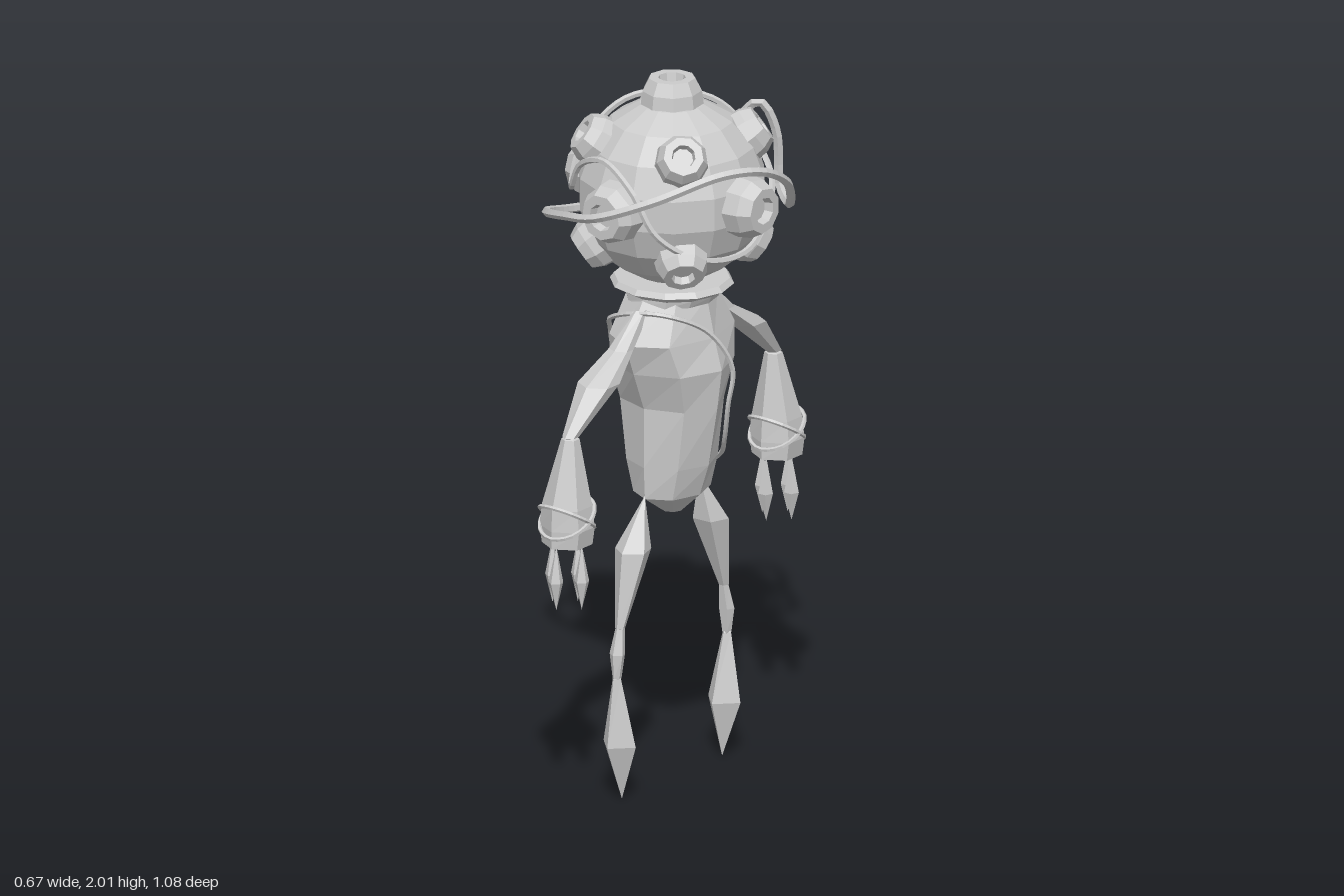
import * as THREE from 'three';

const V = (x, y, z) => new THREE.Vector3(x, y, z);
const CX = 0.01; // body axis
const HEAD = V(CX, 1.69, 0);
const mat = new THREE.MeshStandardMaterial({ color: 0xcccccc, flatShading: true });

function add(parent, name, geo) {
  const flat = geo.index ? geo.toNonIndexed() : geo;
  flat.computeVertexNormals();
  const mesh = new THREE.Mesh(flat, mat);
  mesh.name = name;
  parent.add(mesh);
  return mesh;
}

// Skin over horizontal rings listed from top to bottom: [y, z, rx, rz]
function loft(rings, sides, x = CX) {
  const pos = [], idx = [];
  for (const [y, z, rx, rz] of rings)
    for (let i = 0; i < sides; i++) {
      const a = (i / sides) * Math.PI * 2;
      pos.push(x + Math.sin(a) * rx, y, z + Math.cos(a) * rz);
    }
  for (let r = 0; r < rings.length - 1; r++)
    for (let i = 0; i < sides; i++) {
      const j = (i + 1) % sides;
      const a = r * sides + i, b = r * sides + j, c = a + sides, d = b + sides;
      idx.push(a, c, b, b, c, d);
    }
  const g = new THREE.BufferGeometry();
  g.setAttribute('position', new THREE.Float32BufferAttribute(pos, 3));
  g.setIndex(idx);
  return g;
}

// Closed hose or cord through a few points
function hose(points, radius, segments) {
  return new THREE.TubeGeometry(new THREE.CatmullRomCurve3(points, true), segments, radius, 5, true);
}

function makeHead() {
  const head = new THREE.Group();
  head.name = 'helmet';
  add(head, 'helmetShell', new THREE.SphereGeometry(0.26, 14, 9)).position.copy(HEAD);

  // Recessed ports: five on the axes, eight on the diagonals
  const profile = [[0.088, 0], [0.082, 0.045], [0.064, 0.08], [0.038, 0.08], [0.033, 0.055], [0, 0.055]]
    .map(([r, y]) => new THREE.Vector2(r, y));
  const dirs = [V(0, 1, 0), V(1, 0, 0), V(-1, 0, 0), V(0, 0, 1), V(0, 0, -1)];
  for (const x of [-1, 1]) for (const y of [-1, 1]) for (const z of [-1, 1]) dirs.push(V(x, y, z).normalize());
  dirs.forEach((d, i) => {
    const port = add(head, 'port', new THREE.LatheGeometry(profile, 9));
    const s = i < 5 ? 1 : 0.86;
    port.scale.setScalar(s);
    port.quaternion.setFromUnitVectors(V(0, 1, 0), d);
    port.position.copy(HEAD).addScaledVector(d, i < 5 ? 0.237 : 0.232);
  });

  // Thick hose looping freely round the helmet
  add(head, 'outerHose', hose([
    V(0, 1.69, 0.325), V(0.15, 1.75, 0.27), V(0.27, 1.81, 0.12), V(0.315, 1.8, 0),
    V(0.29, 1.72, -0.15), V(0.2, 1.61, -0.27), V(0.14, 1.64, -0.31), V(0.13, 1.8, -0.305),
    V(0.1, 1.88, -0.275), V(0, 1.79, -0.275), V(-0.15, 1.65, -0.27), V(-0.27, 1.55, -0.18),
    V(-0.325, 1.56, 0), V(-0.28, 1.61, 0.18), V(-0.13, 1.66, 0.29),
  ], 0.013, 90));

  // Thin hose hugging the shell
  const hug = [
    V(-0.2, 0, 0.15), V(-0.15, 0.09, 0.2), V(-0.05, 0.13, 0.24), V(0.06, 0.07, 0.26),
    V(0.13, -0.05, 0.24), V(0.2, -0.13, 0.12), V(0.24, -0.14, -0.05), V(0.2, 0, -0.18),
    V(0.1, 0.1, -0.235), V(0, 0.21, -0.17), V(-0.14, 0.22, 0), V(-0.22, 0.1, 0.1),
  ].map((p) => p.setLength(0.272).add(HEAD));
  add(head, 'innerHose', hose(hug, 0.009, 70));
  return head;
}

function makeTorso() {
  const torso = new THREE.Group();
  torso.name = 'body';
  add(torso, 'torso', loft([
    [1.4, 0, 0, 0], [1.4, 0, 0.12, 0.13], [1.29, 0, 0.145, 0.205], [1.2, 0, 0.17, 0.17],
    [1.09, 0, 0.155, 0.125], [0.92, 0, 0.125, 0.125], [0.83, 0, 0.095, 0.12],
    [0.77, 0, 0.03, 0.03], [0.765, 0, 0, 0],
  ], 8));
  add(torso, 'neckRing', loft([
    [1.44, 0, 0, 0], [1.44, 0, 0.16, 0.155], [1.425, 0, 0.172, 0.165],
    [1.405, 0, 0.135, 0.13], [1.385, 0, 0.125, 0.13], [1.385, 0, 0, 0],
  ], 12));
  add(torso, 'bodyCord', hose([
    V(-0.1, 1.33, 0.13), V(0, 1.37, 0.155), V(0.09, 1.37, 0.12), V(0.15, 1.31, 0.02),
    V(0.185, 1.2, -0.04), V(0.17, 1.09, -0.04), V(0.135, 0.98, -0.07), V(0.085, 0.91, -0.115),
    V(0.01, 0.87, -0.13), V(-0.07, 0.88, -0.1), V(-0.12, 0.95, -0.03), V(-0.15, 1.08, 0.01),
    V(-0.16, 1.2, 0.04), V(-0.14, 1.28, 0.08),
  ], 0.007, 70));
  return torso;
}

// One arm and leg on the +z side
function makeLimbs() {
  const limbs = new THREE.Group();
  limbs.name = 'limbs';
  add(limbs, 'upperArm', loft([
    [1.38, 0.13, 0.02, 0.03], [1.29, 0.225, 0.035, 0.03], [1.22, 0.325, 0.058, 0.055],
    [1.1, 0.45, 0.022, 0.024], [1.09, 0.45, 0, 0],
  ], 6));
  add(limbs, 'forearm', loft([
    [1.11, 0.45, 0, 0], [1.095, 0.45, 0.025, 0.025], [0.91, 0.465, 0.07, 0.066],
    [0.85, 0.465, 0.078, 0.07], [0.8, 0.465, 0.07, 0.068], [0.8, 0.465, 0, 0],
  ], 6));

  // Two crossing cords on the wrist
  for (const tilt of [-1, 1]) {
    const pts = [];
    for (let i = 0; i < 8; i++) {
      const a = (i / 8) * Math.PI * 2;
      pts.push(V(CX + Math.sin(a) * 0.077, 0.875 + tilt * 0.045 * Math.cos(a), 0.465 + Math.cos(a) * 0.071));
    }
    add(limbs, 'wristCord', hose(pts, 0.006, 24));
  }

  // Four claw fingers set in a diamond
  for (const [dx, dz] of [[0.05, 0], [-0.05, 0], [0, 0.05], [0, -0.05]]) {
    add(limbs, 'finger', loft([
      [0.805, 0.465 + dz * 0.95, 0, 0], [0.7, 0.465 + dz, 0.021, 0.021], [0.62, 0.465 + dz * 0.95, 0, 0],
    ], 5, CX + dx));
  }

  add(limbs, 'thigh', loft([
    [0.84, 0.12, 0, 0], [0.7, 0.172, 0.052, 0.05], [0.49, 0.23, 0.014, 0.014], [0.485, 0.23, 0, 0],
  ], 5));
  add(limbs, 'knee', loft([
    [0.5, 0.23, 0, 0], [0.49, 0.23, 0.013, 0.014], [0.42, 0.242, 0.023, 0.02],
    [0.35, 0.244, 0.012, 0.014], [0.34, 0.244, 0, 0],
  ], 5));
  add(limbs, 'shin', loft([
    [0.37, 0.245, 0, 0], [0.35, 0.244, 0.014, 0.016], [0.16, 0.232, 0.055, 0.055], [0, 0.222, 0, 0],
  ], 4));
  return limbs;
}

export function createModel() {
  const model = new THREE.Group();
  model.name = 'divingCreature';
  model.add(makeHead(), makeTorso());
  // The second pair of limbs is the first turned half round the body axis
  const frontLimbs = makeLimbs();
  const backLimbs = makeLimbs();
  frontLimbs.name = 'frontLimbs';
  backLimbs.name = 'backLimbs';
  backLimbs.rotation.y = Math.PI;
  backLimbs.position.x = 2 * CX;
  model.add(frontLimbs, backLimbs);
  return model;
}
